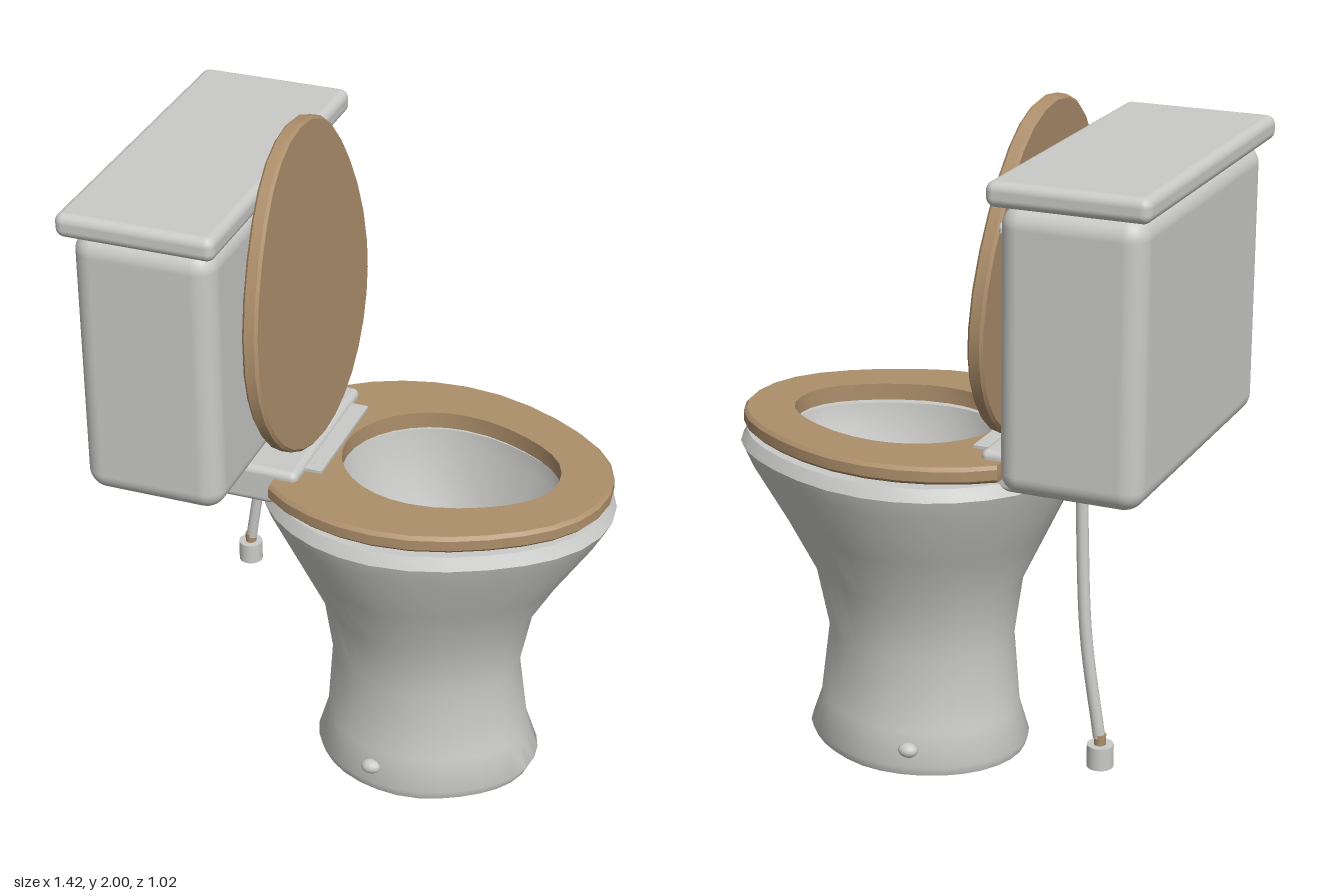
import * as THREE from 'three';
import { toCreasedNormals } from 'three/addons/utils/BufferGeometryUtils.js';
import { RoundedBoxGeometry } from 'three/addons/geometries/RoundedBoxGeometry.js';

const SEGMENTS = 32;

// Egg-shaped ring: blunt at the left, slightly pointed at the right
function eggRing(y, left, mid, right, halfZ, minX = -Infinity) {
  const ring = [];
  for (let j = 0; j < SEGMENTS; j++) {
    const t = (j / SEGMENTS) * Math.PI * 2;
    const c = Math.cos(t), s = Math.sin(t);
    const pinch = c > 0 ? 1 - 0.06 * Math.sin(2 * t) ** 2 : 1;
    const x = mid + c * (c > 0 ? right - mid : mid - left);
    ring.push([Math.max(x, minX), y, halfZ * s * pinch]);
  }
  return ring;
}

// Skin a list of rings, keeping sharp edges sharp
function loft(rings, crease = 0.6) {
  const positions = rings.flat(2);
  const index = [];
  for (let i = 0; i < rings.length - 1; i++) {
    for (let j = 0; j < SEGMENTS; j++) {
      const k = (j + 1) % SEGMENTS;
      const a = i * SEGMENTS + j, b = a + SEGMENTS;
      const d = i * SEGMENTS + k, c = d + SEGMENTS;
      index.push(a, b, c, a, c, d);
    }
  }
  const geometry = new THREE.BufferGeometry();
  geometry.setAttribute('position', new THREE.Float32BufferAttribute(positions, 3));
  geometry.setIndex(index);
  return toCreasedNormals(geometry, crease);
}

export function createModel() {
  const model = new THREE.Group();
  model.name = 'toilet';

  const porcelain = new THREE.MeshStandardMaterial({ color: 0xcacac8 });
  porcelain.name = 'porcelain grey';
  const wood = new THREE.MeshStandardMaterial({ color: 0xad8f6b });
  wood.name = 'wood brown';

  const add = (name, geometry, material, x = 0, y = 0, z = 0) => {
    const mesh = new THREE.Mesh(geometry, material);
    mesh.name = name;
    mesh.position.set(x, y, z);
    model.add(mesh);
    return mesh;
  };

  // Pedestal and bowl: up the outside, over the rim, down to the basin floor
  add('bowl', loft([
    eggRing(0, 0.17, 0.17, 0.17, 0),
    eggRing(0, -0.155, 0.17, 0.495, 0.275),
    eggRing(0.03, -0.165, 0.17, 0.51, 0.285),
    eggRing(0.13, -0.135, 0.17, 0.475, 0.26),
    eggRing(0.35, -0.12, 0.165, 0.447, 0.235),
    eggRing(0.54, -0.145, 0.16, 0.485, 0.275),
    eggRing(0.7, -0.22, 0.15, 0.575, 0.345),
    eggRing(0.87, -0.3, 0.14, 0.685, 0.42),
    eggRing(0.92, -0.32, 0.14, 0.71, 0.435),
    eggRing(0.955, -0.3, 0.14, 0.69, 0.415),
    eggRing(0.955, -0.1, 0.19, 0.565, 0.265),
    eggRing(0.9, -0.09, 0.19, 0.555, 0.26),
    eggRing(0.74, -0.045, 0.185, 0.46, 0.225),
    eggRing(0.62, 0.015, 0.185, 0.355, 0.17),
    eggRing(0.62, 0.185, 0.185, 0.185, 0),
  ], 0.8), porcelain);

  // Seat ring, cut straight at the back
  const back = -0.21;
  add('seat', loft([
    eggRing(0.97, -0.085, 0.19, 0.55, 0.25),
    eggRing(0.97, -0.35, 0.14, 0.69, 0.41, back),
    eggRing(0.98, -0.36, 0.14, 0.7, 0.42, back),
    eggRing(1.01, -0.36, 0.14, 0.7, 0.42, back),
    eggRing(1.02, -0.35, 0.14, 0.69, 0.41, back),
    eggRing(1.02, -0.085, 0.19, 0.55, 0.25),
    eggRing(0.97, -0.085, 0.19, 0.55, 0.25),
  ]), wood);

  // Raised lid, leaning back towards the tank
  const lid = add('seatLid', loft([
    eggRing(0, 0.41, 0.41, 0.41, 0),
    eggRing(0, 0.008, 0.41, 0.955, 0.417),
    eggRing(0.008, 0, 0.41, 0.963, 0.425),
    eggRing(0.037, 0, 0.41, 0.963, 0.425),
    eggRing(0.045, 0.008, 0.41, 0.955, 0.417),
    eggRing(0.045, 0.41, 0.41, 0.41, 0),
  ]), wood, -0.15, 1.035, 0);
  lid.rotation.z = Math.PI / 2 + 0.064;

  // Shelf behind the bowl, with the hinge plate
  add('tankShelf', new RoundedBoxGeometry(0.38, 0.115, 0.52, 3, 0.02), porcelain, -0.33, 0.9875, 0);
  add('hingePlate', new THREE.BoxGeometry(0.06, 0.03, 0.38), porcelain, -0.12, 1.014, 0);

  // Water tank and its cover
  add('tank', new RoundedBoxGeometry(0.41, 0.8, 0.96, 5, 0.06), porcelain, -0.485, 1.41, 0);
  add('tankCover', new RoundedBoxGeometry(0.455, 0.07, 1.02, 4, 0.026), porcelain, -0.4875, 1.845, 0);

  // Flush handle
  const boss = add('flushBoss', new THREE.CylinderGeometry(0.035, 0.035, 0.024, 20), porcelain, -0.272, 1.715, -0.345);
  boss.rotation.z = Math.PI / 2;
  const stem = add('flushStem', new THREE.CylinderGeometry(0.012, 0.012, 0.03, 12), porcelain, -0.255, 1.715, -0.345);
  stem.rotation.z = Math.PI / 2;
  add('flushLever', new RoundedBoxGeometry(0.014, 0.024, 0.16, 2, 0.006), porcelain, -0.248, 1.71, -0.285);

  // Water supply pipe with collar and nut
  const path = new THREE.CatmullRomCurve3([
    new THREE.Vector3(-0.5, 1.03, -0.395),
    new THREE.Vector3(-0.505, 0.9, -0.4),
    new THREE.Vector3(-0.525, 0.62, -0.414),
    new THREE.Vector3(-0.568, 0.325, -0.414),
  ]);
  add('supplyPipe', new THREE.TubeGeometry(path, 16, 0.017, 12), porcelain);
  add('pipeCollar', new THREE.CylinderGeometry(0.017, 0.017, 0.04, 12), wood, -0.571, 0.315, -0.414);
  add('pipeNut', new THREE.CylinderGeometry(0.037, 0.037, 0.066, 20), porcelain, -0.572, 0.272, -0.414);

  // Floor bolt caps on both sides of the foot
  for (const side of [-1, 1]) {
    const cap = add('boltCap', new THREE.SphereGeometry(0.03, 16, 10), porcelain, 0.085, 0.08, side * 0.265);
    cap.scale.set(1, 0.72, 0.8);
  }

  return model;
}
